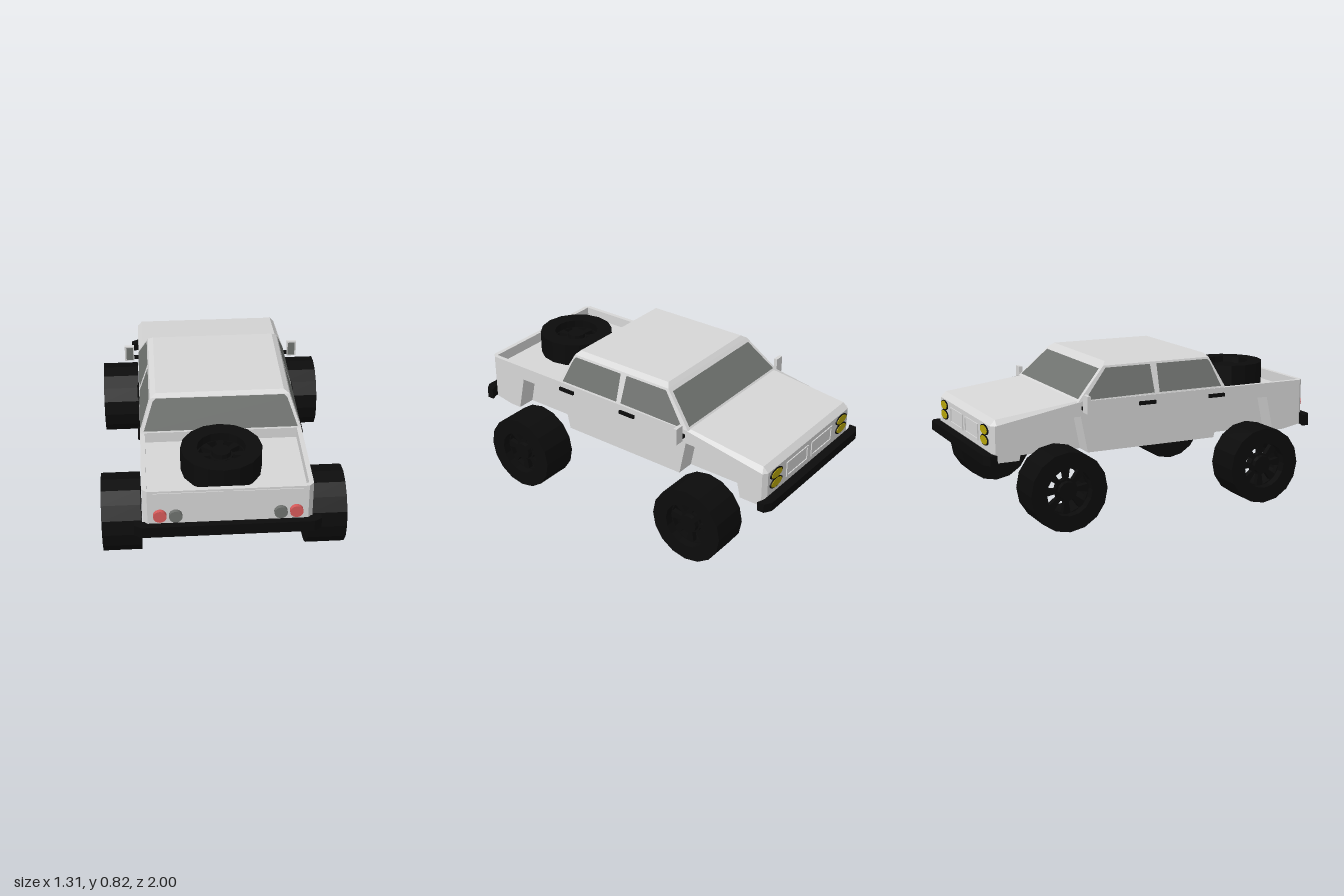
import * as THREE from 'three';

const mat = (name, color) => {
  const m = new THREE.MeshStandardMaterial({ color });
  m.name = name;
  return m;
};

export function createModel() {
  const paint = mat('body paint', 0xd6d6d6);
  const black = mat('black rubber', 0x0b0b0b);
  const glass = mat('window glass', 0x6f726f);
  const red = mat('tail light red', 0xd65a5a);
  const yellow = mat('headlight yellow', 0xb8a60a);
  glass.side = THREE.DoubleSide;

  const truck = new THREE.Group();
  truck.name = 'pickupTruck';

  const add = (name, geo, material, x = 0, y = 0, z = 0, parent = truck) => {
    const mesh = new THREE.Mesh(geo, material);
    mesh.name = name;
    mesh.position.set(x, y, z);
    parent.add(mesh);
    return mesh;
  };
  const flat = (geo) => {
    const g = geo.index ? geo.toNonIndexed() : geo;
    g.computeVertexNormals();
    return g;
  };
  const box = (name, w, h, d, m, x, y, z) => add(name, new THREE.BoxGeometry(w, h, d), m, x, y, z);
  const shapeOf = (pts) => new THREE.Shape(pts.map(([a, b]) => new THREE.Vector2(a, b)));

  // Lower body: side profiles (z, y) extruded across x in layers
  const arches = [
    [0.76, 0.35], [0.715, 0.55], [0.41, 0.55], [0.365, 0.35],
    [-0.41, 0.35], [-0.45, 0.55], [-0.755, 0.55], [-0.8, 0.35],
  ];
  const nose = [[-0.93, 0.35], [-0.95, 0.4], [-0.95, 0.545], [-0.92, 0.575], [-0.46, 0.63], [-0.44, 0.63]];
  const bed = [[0.44, 0.63], [0.44, 0.57], [0.94, 0.57], [0.94, 0.63]];
  const tail = [[0.965, 0.63], [0.965, 0.37], [0.83, 0.35]];

  const bodyLayer = (name, x0, x1, hasArches, hasBed) => {
    const pts = [...(hasArches ? arches : []), ...nose, ...(hasBed ? bed : []), ...tail];
    const geo = new THREE.ExtrudeGeometry(shapeOf(pts.map(([z, y]) => [-z, y])), { depth: x1 - x0, bevelEnabled: false });
    geo.rotateY(Math.PI / 2).translate(x0, 0, 0);
    // bevel the outer edge of hood, nose and tail
    const p = geo.attributes.position;
    for (let i = 0; i < p.count; i++) {
      if (Math.abs(p.getX(i)) < 0.43) continue;
      const y = p.getY(i), z = p.getZ(i);
      if (z < -0.45 && y > 0.56) p.setY(i, y - 0.03);
      if (z < -0.94) p.setZ(i, -0.93);
      if (z > 0.95) p.setZ(i, 0.94);
    }
    add(name, flat(geo), paint);
  };
  bodyLayer('bodyCentre', -0.33, 0.33, false, true);
  for (const s of [-1, 1]) {
    const span = (a, b) => (s > 0 ? [a, b] : [-b, -a]);
    bodyLayer('innerBodySide', ...span(0.33, 0.41), true, true);
    bodyLayer('outerBodySide', ...span(0.41, 0.435), true, false);
  }

  // Cabin: stacked rectangular sections [y, half width, front z, rear z]
  const rings = [[0.628, 0.433, -0.462, 0.44], [0.8, 0.375, -0.29, 0.36], [0.82, 0.345, -0.268, 0.342]];
  const corners = rings.map(([y, w, f, r]) => [[-w, y, f], [-w, y, r], [w, y, r], [w, y, f]]);
  const tris = [];
  const quad = (a, b, c, d) => tris.push(...a, ...b, ...c, ...a, ...c, ...d);
  for (let k = 0; k < 2; k++) {
    for (let i = 0; i < 4; i++) {
      const j = (i + 1) % 4;
      quad(corners[k][i], corners[k][j], corners[k + 1][j], corners[k + 1][i]);
    }
  }
  quad(...corners[2]);
  const cabin = new THREE.BufferGeometry();
  cabin.setAttribute('position', new THREE.Float32BufferAttribute(tris, 3));
  add('cabin', flat(cabin), paint);

  // Windows: flat panes laid just over the sloped cabin faces
  const pane = (name, pts, place) => {
    const geo = new THREE.ShapeGeometry(shapeOf(pts));
    const p = geo.attributes.position;
    for (let i = 0; i < p.count; i++) p.setXYZ(i, ...place(p.getX(i), p.getY(i)));
    geo.computeVertexNormals();
    add(name, geo, glass);
  };
  pane('windshield', [[-0.41, 0.64], [0.41, 0.64], [0.36, 0.785], [-0.36, 0.785]],
    (x, y) => [x, y, -0.466 + (y - 0.628)]);
  pane('rearWindow', [[-0.415, 0.64], [0.415, 0.64], [0.362, 0.785], [0.345, 0.8], [-0.345, 0.8], [-0.362, 0.785]],
    (x, y) => [x, y, 0.445 - (y - 0.628) * 0.465]);
  for (const s of [-1, 1]) {
    const onSide = (z, y) => [s * (0.437 - (y - 0.628) * 0.337), y, z];
    pane('rearSideWindow', [[0.41, 0.64], [0.022, 0.64], [0.027, 0.79], [0.345, 0.79], [0.36, 0.775]], onSide);
    pane('frontSideWindow', [[-0.008, 0.64], [-0.41, 0.635], [-0.415, 0.645], [-0.28, 0.79], [-0.013, 0.79]], onSide);
  }

  // Bumpers with swept-back ends
  const bumperShape = shapeOf([[-0.44, 1], [0.44, 1], [0.48, 0.975], [0.48, 0.935],
    [0.435, 0.95], [-0.435, 0.95], [-0.48, 0.935], [-0.48, 0.975]]);
  const bumper = (name, top, height, turn) => {
    const geo = new THREE.ExtrudeGeometry(bumperShape, { depth: height, bevelEnabled: false });
    geo.rotateX(Math.PI / 2).rotateY(turn);
    add(name, geo, black, 0, top, 0);
  };
  bumper('rearBumper', 0.43, 0.063, 0);
  bumper('frontBumper', 0.402, 0.05, Math.PI);

  // Round lamps facing along z
  const lamp = (name, r, depth, squash, m, x, y, z) => {
    const geo = new THREE.CylinderGeometry(r, r, depth, 20).rotateX(Math.PI / 2).scale(1, squash, 1);
    add(name, geo, m, x, y, z);
  };

  // Rectangular frame with an open middle
  const frame = (name, w, h, x, y, z) => {
    const rect = (a, b) => [[-a, -b], [a, -b], [a, b], [-a, b]];
    const shape = shapeOf(rect(w / 2, h / 2));
    shape.holes.push(shapeOf(rect(w / 2 - 0.01, h / 2 - 0.01)));
    add(name, new THREE.ExtrudeGeometry(shape, { depth: 0.008, bevelEnabled: false }), paint, x, y, z - 0.004);
  };

  for (const s of [-1, 1]) {
    lamp('tailLight', 0.034, 0.03, 1, red, s * 0.347, 0.487, 0.975);
    lamp('reverseLight', 0.034, 0.03, 1, glass, s * 0.267, 0.484, 0.975);
    box('tailgatePanel', 0.355, 0.17, 0.006, paint, s * 0.203, 0.533, 0.966);
    frame('grilleFrame', 0.215, 0.09, s * 0.125, 0.475, -0.952);
    for (const y of [0.457, 0.512]) {
      lamp('headlightRim', 0.058, 0.012, 0.48, black, s * 0.335, y, -0.95);
      lamp('headlight', 0.05, 0.016, 0.46, yellow, s * 0.335, y, -0.951);
    }
    // Door handles and mirrors
    for (const z of [0.378, -0.055]) box('doorHandle', 0.016, 0.02, 0.1, black, s * 0.438, 0.59, z);
    box('mirrorArm', 0.04, 0.018, 0.015, black, s * 0.447, 0.595, -0.438);
    box('mirrorHousing', 0.055, 0.095, 0.02, paint, s * 0.488, 0.624, -0.438);
    box('mirrorGlass', 0.04, 0.08, 0.004, glass, s * 0.486, 0.624, -0.427);
  }

  // Wheels: hollow tyre, spoked disc with eight openings, hub (axis along y)
  const R = 0.213, W = 0.105, bore = 0.127;
  const tyreGeo = flat(new THREE.LatheGeometry(
    [[bore, -W], [R, -W], [R, W], [bore, W], [bore, -W]].map(([r, y]) => new THREE.Vector2(r, y)), 16));
  const disc = new THREE.Shape().absarc(0, 0, 0.13, 0, Math.PI * 2);
  for (let i = 0; i < 8; i++) {
    const a = ((i + 0.5) * Math.PI) / 4;
    const at = (r, d) => [r * Math.cos(a + d), r * Math.sin(a + d)];
    disc.holes.push(shapeOf([at(0.062, -0.2), at(0.122, -0.22), at(0.122, 0.22), at(0.062, 0.2)]));
  }
  const discGeo = new THREE.ExtrudeGeometry(disc, { depth: 0.03, bevelEnabled: false, curveSegments: 16 });
  discGeo.rotateX(-Math.PI / 2);
  const hubGeo = flat(new THREE.CylinderGeometry(0.05, 0.055, 0.07, 12));

  const wheel = (name, x, y, z, tilt) => {
    const g = new THREE.Group();
    g.name = name;
    add('tyre', tyreGeo, black, 0, 0, 0, g);
    add('spokedRim', discGeo, black, 0, 0.03, 0, g);
    add('hub', hubGeo, black, 0, 0.05, 0, g);
    g.position.set(x, y, z);
    g.rotation.z = tilt;
    truck.add(g);
  };
  for (const s of [-1, 1]) {
    wheel('rearWheel', s * 0.55, R, 0.567, -s * Math.PI / 2);
    wheel('frontWheel', s * 0.55, R, -0.612, -s * Math.PI / 2);
    // Axle stubs
    for (const z of [0.567, -0.612]) {
      const axle = add('axleStub', new THREE.CylinderGeometry(0.03, 0.03, 0.06, 10), black, s * 0.55, R, z);
      axle.rotation.z = Math.PI / 2;
    }
  }
  wheel('spareWheel', -0.017, 0.596, 0.695, 0);

  return truck;
}
